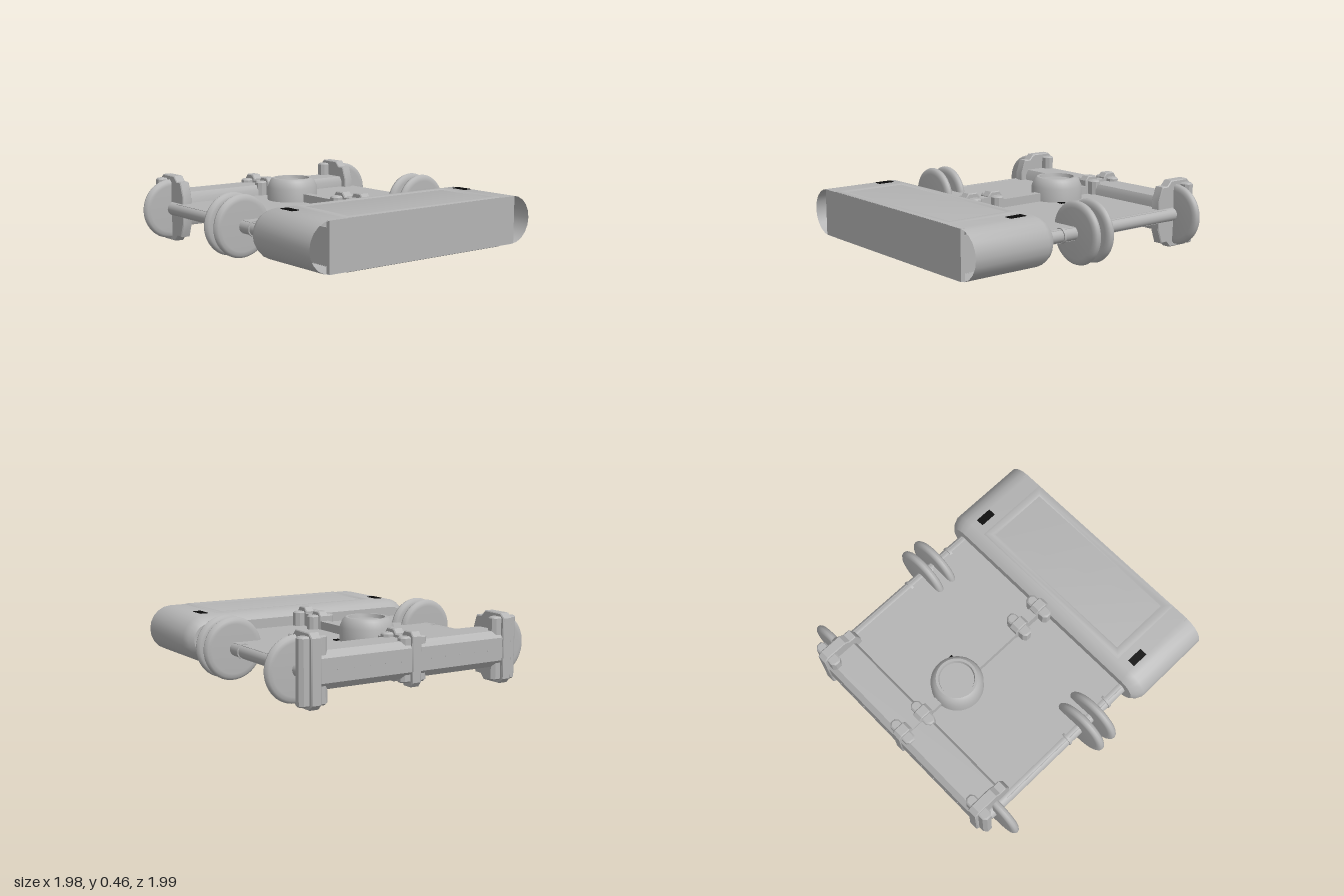
import * as THREE from 'three';
import { toCreasedNormals } from 'three/addons/utils/BufferGeometryUtils.js';

const MID = 0.245; // height of the horizontal mirror plane

export function createModel() {
  const model = new THREE.Group();
  const hull = new THREE.MeshStandardMaterial({ color: 0xb4b4b4, side: THREE.DoubleSide });
  hull.name = 'hull grey';
  const black = new THREE.MeshStandardMaterial({ color: 0x0a0a0a });
  black.name = 'marking black';

  const add = (name, geo, x = 0, y = 0, z = 0, mat = hull) => {
    const m = new THREE.Mesh(toCreasedNormals(geo, 0.6), mat);
    m.name = name;
    m.position.set(x, y, z);
    model.add(m);
    return m;
  };
  const box = (name, w, h, d, x, y, z, mat) => add(name, new THREE.BoxGeometry(w, h, d), x, y, z, mat);
  const shapeOf = pts => new THREE.Shape(pts.map(p => new THREE.Vector2(...p)));

  // Centred extrusion with a small chamfer included in its depth
  const extrude = (pts, depth, bevel) => new THREE.ExtrudeGeometry(shapeOf(pts), {
    depth: depth - 2 * bevel, bevelEnabled: bevel > 0, bevelSegments: 1,
    bevelSize: bevel, bevelThickness: bevel, bevelOffset: -bevel,
  }).translate(0, 0, bevel - depth / 2);
  const upright = (pts, h, bevel) => extrude(pts, h, bevel).rotateX(-Math.PI / 2);
  const sideways = (pts, w, bevel) => extrude(pts, w, bevel).rotateY(-Math.PI / 2); // points are (z, y)

  // Upper half profile (z, height above MID) mirrored below
  const mirrored = half => [...half, ...half.map(([z, h]) => [z, -h]).reverse()];

  // Front pod: stadium cross-sections, open at the front ends
  const loop = inset => {
    const pts = [], r = 0.162 - inset;
    for (const s of [1, -1]) {
      for (let i = 0; i <= 10; i++) {
        const a = -Math.PI / 2 + Math.PI * i / 10;
        pts.push([s * (0.763 + r * Math.cos(a)), s * r * Math.sin(a)]);
      }
    }
    return pts;
  };
  const sections = [[0.99, 0], [0.43, 0], [0.385, 0.02], [0.355, 0.052]];
  const pos = [], idx = [], n = 22;
  sections.forEach(([z, inset]) => loop(inset).forEach(([x, y]) => pos.push(x, y, z)));
  for (let s = 0; s < sections.length - 1; s++) {
    for (let i = 0; i < n; i++) {
      const a = s * n + i, b = s * n + (i + 1) % n;
      idx.push(a, a + n, b, b, a + n, b + n);
    }
  }
  const shell = new THREE.BufferGeometry();
  shell.setAttribute('position', new THREE.Float32BufferAttribute(pos, 3));
  shell.setIndex(idx);
  add('podShell', shell, 0, MID);
  add('podBackWall', new THREE.ShapeGeometry(shapeOf(loop(0.052))).rotateY(Math.PI), 0, MID, 0.355);
  box('podFrontPlate', 1.56, 0.32, 0.03, 0, MID, 0.976);
  for (const s of [1, -1]) box('podInnerWall', 0.01, 0.23, 0.58, s * 0.77, MID, 0.68);

  // Raised panel frames and dark markings above and below the pod
  const frame = shapeOf([[-0.65, -0.99], [0.65, -0.99], [0.65, -0.44], [-0.65, -0.44]]);
  frame.holes.push(new THREE.Path([[-0.59, -0.93], [-0.59, -0.495], [0.59, -0.495], [0.59, -0.93]]
    .map(p => new THREE.Vector2(...p))));
  for (const s of [1, -1]) {
    const g = new THREE.ExtrudeGeometry(frame, {
      depth: 0.002, bevelEnabled: true, bevelSegments: 1, bevelThickness: 0.006, bevelSize: 0.015, bevelOffset: -0.015,
    }).rotateX(-Math.PI / 2);
    const m = add('podPanelFrame', g, 0, MID + s * 0.16);
    if (s < 0) m.rotation.z = Math.PI;
    for (const x of [-0.735, 0.735]) {
      box('podMarking', 0.055, 0.008, 0.12, x, MID + s * 0.162, 0.54, black);
    }
    box('deckMarking', 0.04, 0.008, 0.04, 0.168, MID + s * 0.044, -0.34, black);
  }

  // Deck and central spine
  box('deck', 1.58, 0.085, 1.1, 0, MID, -0.19);
  box('spine', 0.06, 0.2, 1.15, 0, MID, -0.22);
  box('frontSpineCoupling', 0.07, 0.26, 0.12, 0, MID, 0.24);
  box('rearSpineCoupling', 0.075, 0.27, 0.12, 0, MID, -0.84);

  // Central hub with dished ends
  const hubHalf = [[0, 0.175], [0.117, 0.175], [0.122, 0.2], [0.14, 0.2], [0.158, 0.185], [0.179, 0.135]];
  const hubProfile = [...hubHalf, ...hubHalf.map(([r, y]) => [r, -y]).reverse()]
    .reverse().map(p => new THREE.Vector2(...p));
  add('hub', new THREE.LatheGeometry(hubProfile, 40), 0, MID, -0.44);

  // Rear beam
  const beam = mirrored([[-0.99, 0.075], [-0.955, 0.118], [-0.755, 0.118], [-0.735, 0.08]]);
  add('rearBeam', sideways(beam, 1.4, 0), 0, MID);
  for (let i = -5; i <= 5; i++) {
    if (i === 0) continue;
    add('beamRivet', new THREE.CylinderGeometry(0.005, 0.005, 0.006, 8).rotateX(Math.PI / 2), i * 0.115, MID, -0.991);
  }

  // Clamps: a column with pointed ears and a taller centre strap
  const ears = [[-0.098, -0.018], [-0.075, -0.038], [0.075, -0.038], [0.098, -0.018],
    [0.098, 0.018], [0.075, 0.038], [-0.075, 0.038], [-0.098, 0.018]];
  const clamp = (x, z, h, strap) => {
    add('clampEars', upright(ears, h, 0.01), x, MID, z);
    if (!strap) return;
    const p = mirrored([[-0.058, strap / 2 - 0.03], [-0.035, strap / 2], [0.035, strap / 2], [0.058, strap / 2 - 0.03]]);
    add('clampStrap', sideways(p, 0.07, 0.006), x, MID, z);
  };
  clamp(0, 0.335, 0.29, 0.35);
  clamp(0, 0.145, 0.28, 0.33);
  clamp(0, -0.755, 0.29, 0.34);
  clamp(0, -0.938, 0.29, 0.35);

  // Side rails, discs and rear brackets
  const bracket = mirrored([[-0.998, 0.2], [-0.965, 0.232], [-0.81, 0.232], [-0.775, 0.195],
    [-0.725, 0.195], [-0.692, 0.1]]);
  const rim = [[0, -0.022], [0.165, -0.027], [0.19, -0.025], [0.204, -0.014], [0.209, 0],
    [0.204, 0.014], [0.19, 0.025], [0.165, 0.027], [0, 0.022]].map(p => new THREE.Vector2(...p));
  const disc = half => half
    ? new THREE.LatheGeometry(rim, 24, 0, Math.PI)
    : new THREE.LatheGeometry(rim, 48);
  const tube = (r, len) => new THREE.CylinderGeometry(r, r, len, 20).rotateX(Math.PI / 2);
  for (const s of [1, -1]) {
    add('sideRail', tube(0.045, 1.33), s * 0.77, MID, -0.235);
    for (const z of [0.205, 0.02, -0.17]) add('railCollar', tube(0.052, 0.018), s * 0.77, MID, z);
    for (const z of [0.075, -0.038]) add('sideDisc', disc(false).rotateX(Math.PI / 2), s * 0.782, MID, z);
    const rear = add('rearDisc', disc(true).rotateX(Math.PI / 2), s * 0.782, MID, -0.84);
    if (s < 0) rear.rotation.y = Math.PI;
    add('rearBracket', sideways(bracket, 0.072, 0.006), s * 0.728, MID);
    clamp(s * 0.728, -0.938, 0.42, 0);
  }
  return model;
}
